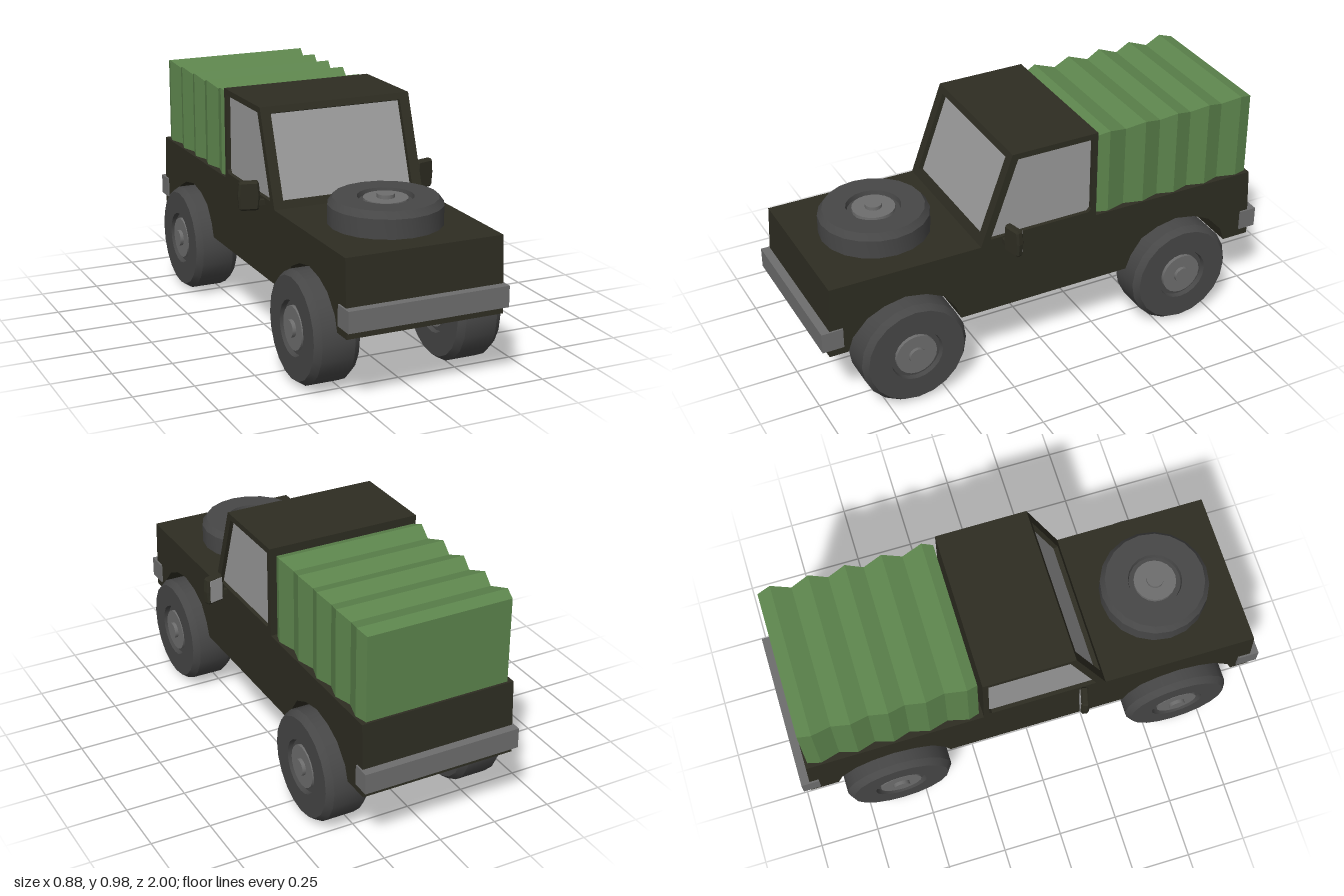
import * as THREE from 'three';
import { toCreasedNormals } from 'three/addons/utils/BufferGeometryUtils.js';

const mat = (name, color, side = THREE.FrontSide) => {
  const m = new THREE.MeshStandardMaterial({ color, side });
  m.name = name;
  return m;
};

export function createModel() {
  const paint = mat('olive paint', 0x2e2d22);
  const rubber = mat('tyre rubber', 0x474747);
  const steel = mat('grey steel', 0x6e6e6e);
  const glass = mat('window glass', 0x9a9a9a);
  const canvas = mat('green canvas', 0x5d854d);

  const model = new THREE.Group();
  model.name = 'pickupTruck';

  const add = (name, geo, material, x = 0, y = 0, z = 0, parent = model) => {
    const m = new THREE.Mesh(geo, material);
    m.name = name;
    m.position.set(x, y, z);
    parent.add(m);
    return m;
  };
  const poly = pts => new THREE.Shape(pts.map(p => new THREE.Vector2(...p)));
  const extrude = (shape, depth) => new THREE.ExtrudeGeometry(shape, { depth, bevelEnabled: false });
  // Side profiles are drawn as (z, y) and extruded across x, centred on x = 0
  const across = (shape, width) =>
    extrude(shape, width).translate(0, 0, -width / 2).rotateY(-Math.PI / 2);

  // Lower body with wheel arches cut right through
  const arch = c => [[-0.25, 0.29], [-0.23, 0.35], [-0.165, 0.42], [-0.09, 0.455], [0, 0.472],
    [0.09, 0.455], [0.165, 0.42], [0.215, 0.35], [0.238, 0.29]].map(([z, y]) => [c + z, y]);
  const mirrorArch = c => arch(0).map(([z, y]) => [c - z, y]).reverse();
  add('body', across(poly([
    [-0.97, 0.29], ...arch(-0.6), ...mirrorArch(0.64), [0.97, 0.29], [0.955, 0.6], [-0.955, 0.6],
  ]), 0.66), paint);

  // Bumpers
  add('frontBumper', new THREE.BoxGeometry(0.675, 0.086, 0.09), steel, 0, 0.367, 0.955);
  add('rearBumper', new THREE.BoxGeometry(0.675, 0.086, 0.075), steel, 0, 0.367, -0.9625);

  // Cab: side panels with window openings
  const cab = new THREE.Group();
  cab.name = 'cab';
  model.add(cab);
  for (const s of [-1, 1]) {
    const side = poly([[0.31, 0.6], [0.17, 0.985], [-0.21, 0.985], [-0.21, 0.6]]);
    side.holes.push(poly([[0.268, 0.625], [-0.175, 0.625], [-0.187, 0.64], [-0.187, 0.96], [0.146, 0.96]]));
    add(s > 0 ? 'leftCabSide' : 'rightCabSide', across(side, 0.02), paint, s * 0.32, 0, 0, cab);
  }
  // Leaning windscreen frame
  const frame = poly([[-0.31, 0], [0.31, 0], [0.31, 0.41], [-0.31, 0.41]]);
  frame.holes.push(poly([[-0.287, 0.034], [-0.287, 0.382], [0.287, 0.382], [0.287, 0.034]]));
  const screen = add('windscreenFrame', extrude(frame, 0.025).translate(0, 0, -0.025), paint, 0, 0.6, 0.31, cab);
  screen.rotation.x = -Math.atan2(0.14, 0.385);
  add('roof', new THREE.BoxGeometry(0.66, 0.02, 0.38), paint, 0, 0.975, -0.02, cab);
  add('cabBack', new THREE.BoxGeometry(0.66, 0.385, 0.015), paint, 0, 0.7925, -0.2025, cab);
  // Glass core shows through all the openings
  add('windows', across(poly([[0.288, 0.6], [0.154, 0.97], [-0.2, 0.97], [-0.2, 0.6]]), 0.626), glass, 0, 0, 0, cab);

  // Pleated canvas cover: ridged cross-sections joined along z
  const stations = [-0.225, -0.27, -0.355, -0.435, -0.515, -0.585, -0.66, -0.735, -0.81, -0.89, -0.945];
  const ring = stations.map((z, i) => {
    const end = i === 0 || i === stations.length - 1;
    const w = i % 2 ? 0.322 : end ? 0.308 : 0.3;
    const h = i % 2 ? 0.972 : end ? 0.958 : 0.95;
    return [[w, 0.6, z], [w, h, z], [-w, h, z], [-w, 0.6, z]];
  });
  const pos = [];
  const quad = (a, b, c, d) => pos.push(...a, ...b, ...c, ...a, ...c, ...d);
  for (let i = 0; i < ring.length - 1; i++) {
    const f = ring[i], b = ring[i + 1];
    for (let j = 0; j < 4; j++) {
      const k = (j + 1) % 4;
      quad(f[j], b[j], b[k], f[k]);
    }
  }
  quad(...ring[0]);
  quad(...[...ring[ring.length - 1]].reverse());
  const cover = new THREE.BufferGeometry();
  cover.setAttribute('position', new THREE.Float32BufferAttribute(pos, 3));
  cover.computeVertexNormals();
  add('canvasCover', cover, canvas);

  // Wheels, turned about y and then laid on their side
  const tyreGeo = toCreasedNormals(new THREE.LatheGeometry([
    [0.105, -0.06], [0.112, -0.095], [0.207, -0.095], [0.2265, -0.068],
    [0.2265, 0.068], [0.207, 0.095], [0.112, 0.095], [0.105, 0.06],
  ].map(p => new THREE.Vector2(...p)), 20), 0.4);
  const wheel = name => {
    const g = new THREE.Group();
    g.name = name;
    add('tyre', tyreGeo, rubber, 0, 0, 0, g);
    add('rim', new THREE.CylinderGeometry(0.108, 0.108, 0.15, 20), rubber, 0, 0, 0, g);
    add('hub', new THREE.CylinderGeometry(0.088, 0.088, 0.18, 20), steel, 0, 0, 0, g);
    add('hubCap', new THREE.CylinderGeometry(0.035, 0.035, 0.21, 16), steel, 0, 0, 0, g);
    model.add(g);
    return g;
  };
  for (const [end, z] of [['front', 0.63], ['rear', -0.6]]) {
    for (const s of [-1, 1]) {
      const w = wheel(end + (s > 0 ? 'Left' : 'Right') + 'Wheel');
      w.position.set(s * 0.305, 0.2275, z);
      w.rotation.z = Math.PI / 2;
    }
  }
  // Spare wheel sunk into the bonnet
  wheel('spareWheel').position.set(0, 0.61, 0.625);

  // Door mirrors, swept slightly back, with glass on the rear face
  const mirrorShape = poly([[-0.034, -0.06], [0.034, -0.06], [0.04, -0.052], [0.045, 0],
    [0.04, 0.052], [0.034, 0.06], [-0.034, 0.06], [-0.04, 0.052], [-0.045, 0], [-0.04, -0.052]]);
  const mirrorGeo = new THREE.ExtrudeGeometry(mirrorShape, {
    depth: 0.018, bevelEnabled: true, bevelSegments: 1, bevelThickness: 0.008, bevelSize: 0.008, bevelOffset: -0.008,
  }).translate(0, 0, -0.009);
  for (const s of [-1, 1]) {
    const g = new THREE.Group();
    g.name = s > 0 ? 'leftMirror' : 'rightMirror';
    g.position.set(s * 0.392, 0.638, 0.197);
    g.rotation.y = s * 0.25;
    add('mirrorHousing', mirrorGeo, paint, 0, 0, 0, g);
    add('mirrorGlass', new THREE.BoxGeometry(0.062, 0.1, 0.004), glass, 0, 0, -0.0175, g);
    model.add(g);
    add('mirrorArm', new THREE.BoxGeometry(0.05, 0.022, 0.02), paint, s * 0.345, 0.608, 0.208);
  }

  return model;
}
